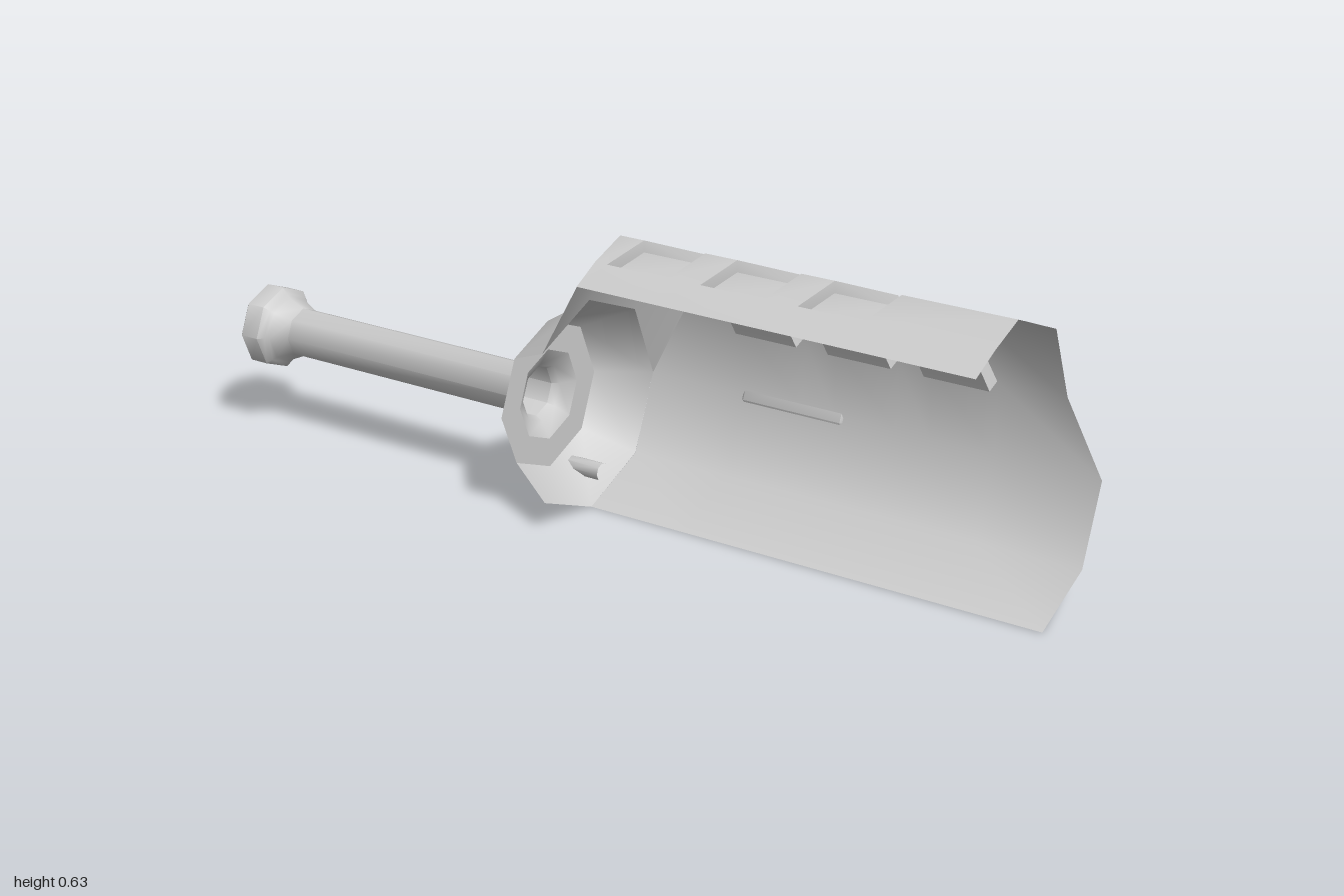
import * as THREE from 'three';
import { toCreasedNormals } from 'three/addons/utils/BufferGeometryUtils.js';

const CY = 0.237, CZ = 0.145, R = 0.237, LIFT = 0.157;
const CREASE = 0.82; // octagon sides stay smooth, sharper edges stay crisp
const both = new THREE.MeshStandardMaterial({ color: 0xcccccc, side: THREE.DoubleSide });
const single = new THREE.MeshStandardMaterial({ color: 0xcccccc });

// corner i of an octagon around the main axis: 0 front, 2 top, 4 back, 6 bottom
function corner(i, x, r, lift = 0) {
  const a = i * Math.PI / 4;
  return [x, CY + lift + r * Math.sin(a), CZ + r * Math.cos(a)];
}

// skins a grid of rows, leaving out the cells that skip() picks
function skin(rows, skip = () => false) {
  const pos = [];
  for (let i = 0; i < rows.length - 1; i++) {
    for (let j = 0; j < rows[i].length - 1; j++) {
      if (skip(i, j)) continue;
      const a = rows[i][j], b = rows[i][j + 1], c = rows[i + 1][j + 1], d = rows[i + 1][j];
      pos.push(...a, ...c, ...b, ...a, ...d, ...c);
    }
  }
  const g = new THREE.BufferGeometry();
  g.setAttribute('position', new THREE.Float32BufferAttribute(pos, 3));
  return toCreasedNormals(g, CREASE);
}

// eight-sided turned part along x; profile is [x, radius] pairs
function turned(profile) {
  const g = new THREE.LatheGeometry(profile.map(([x, r]) => new THREE.Vector2(r, x)), 8);
  g.rotateZ(-Math.PI / 2);
  return toCreasedNormals(g, CREASE);
}

export function createModel() {
  const group = new THREE.Group();
  const add = (name, geometry, material = both, y = 0, z = 0) => {
    const m = new THREE.Mesh(geometry, material);
    m.name = name;
    m.position.set(0, y, z);
    group.add(m);
  };

  // shell cross-section from the front lip over the top and down the back
  // [y, z, start x, end x, left x of the first slot]
  const section = [
    [0.563, 0.30, 0, 0.915, 0.03],
    [0.598, 0.235, 0, 0.915, 0.03],
    [0.631, 0.145, 0, 0.915, 0.06],
    [0.562, -0.023, 0, 0.915, 0.11],
    [0.397, -0.092, 0, 0.915, 0.155],
    [0.237, -0.092, -0.08, 1, 0.155],
    [0.069, -0.023, -0.08, 1, 0.155],
    [0, 0.145, -0.08, 1, 0.155],
  ];
  const slotX = (s) => [0, 1, 2].flatMap((k) => [s + k * 0.227, s + k * 0.227 + 0.15]);
  const rows = section.map(([y, z, x0, x1, s], i) =>
    [x0, ...slotX(s), x1].map((x) => [x, y, i === 0 ? z + 0.011 * x : z]));
  add('shell', skin(rows, (i, j) => i >= 1 && i <= 3 && j % 2 === 1));

  // recessed floors and walls of the three slanted slots
  const floorSection = [[0.573, 0.225], [0.605, 0.145], [0.545, 0], [0.385, -0.06]];
  for (let k = 0; k < 3; k++) {
    const rim = [1, 2, 3, 4].map((i) => [rows[i][1 + 2 * k], rows[i][2 + 2 * k]]);
    const floor = rim.map((r, i) => r.map((p) => [p[0], ...floorSection[i]]));
    add('slotFloor', skin(floor));
    add('slotLeftWall', skin(rim.map((r, i) => [r[0], floor[i][0]])));
    add('slotRightWall', skin(rim.map((r, i) => [floor[i][1], r[1]])));
    add('slotFrontEnd', skin([rim[0], floor[0]]));
    add('slotBackEnd', skin([floor[3], rim[3]]));
  }

  // slope from the round collar up to the raised shell
  add('shoulder', skin([1, 2, 3, 4].map((i) => {
    const top = corner(i, 0, R, LIFT);
    if (i === 1) top[2] = 0.30;
    return [corner(i, -0.08, R), top];
  })));

  // tapered collar, open at the front
  add('collar', skin([1, 2, 3, 4, 5, 6, 7].map((i) => [corner(i, -0.19, 0.168), corner(i, -0.08, R)])));
  const plate = new THREE.RingGeometry(0.103, 0.168, 8, 1);
  plate.rotateY(-Math.PI / 2);
  plate.translate(-0.19, 0, 0);
  add('endPlate', plate, both, CY, CZ);

  // hollow rod with a flared root and a knob at the tip
  add('rod', turned([
    [-0.91, 0.045], [-0.905, 0.058], [-0.88, 0.057], [-0.225, 0.057], [-0.21, 0.066], [-0.19, 0.103],
  ]), both, CY, CZ);
  add('rodKnob', turned([
    [-0.965, 0], [-0.965, 0.045], [-1, 0.05], [-1, 0.084], [-0.99, 0.096],
    [-0.945, 0.096], [-0.933, 0.084], [-0.925, 0.075], [-0.885, 0.057],
  ]), both, CY, CZ);

  // drum behind the shell
  add('rearDrum', turned([
    [0.15, 0], [0.15, 0.105], [0.16, 0.113], [0.40, 0.113], [0.41, 0.105], [0.41, 0],
  ]), single, 0.227, -0.197);

  // small peg through the collar
  add('peg', turned([[-0.2, 0], [-0.2, 0.014], [-0.193, 0.02], [-0.09, 0.02]]), single, 0.06, 0.09);

  return group;
}
